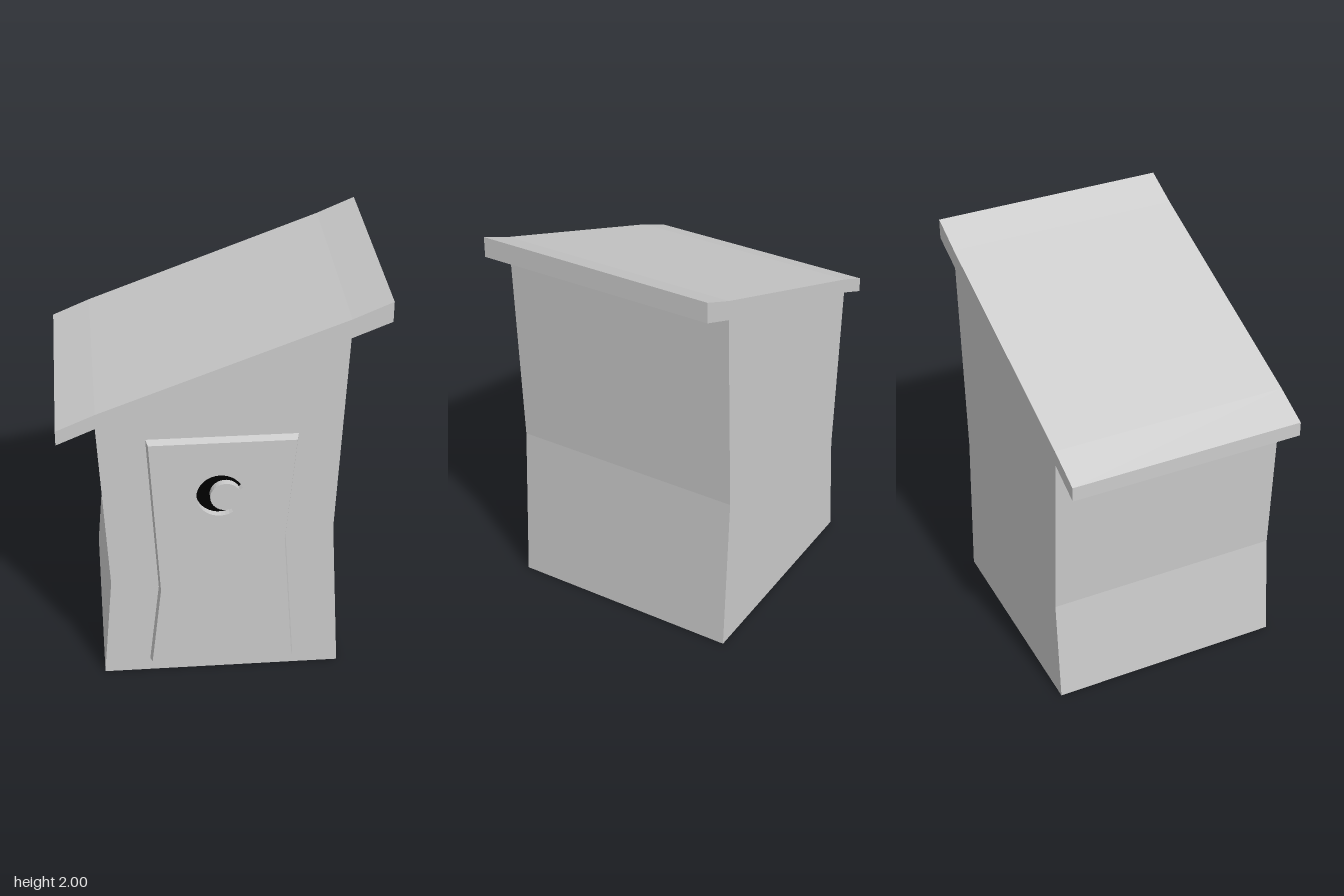
import * as THREE from 'three';

const polygon = (pts) => pts.map(([x, y]) => new THREE.Vector2(x, y));

// Points along a circular arc, angles in degrees
function arc(cx, cy, r, from, to, n) {
  return Array.from({ length: n + 1 }, (_, i) => {
    const a = THREE.MathUtils.degToRad(from + ((to - from) * i) / n);
    return new THREE.Vector2(cx + r * Math.cos(a), cy + r * Math.sin(a));
  });
}

function addMesh(group, name, geometry, color = 0xcccccc) {
  const material = new THREE.MeshStandardMaterial({ color, flatShading: true });
  const mesh = new THREE.Mesh(geometry, material);
  mesh.name = name;
  group.add(mesh);
  return mesh;
}

export function createModel() {
  const group = new THREE.Group();
  group.name = 'outhouse';
  const back = -0.6, front = 0.563, doorFront = 0.603;

  // Crooked walls and overhanging slanted roof share one outline
  const outline = new THREE.Shape(polygon([
    [-0.58, 0], [0.58, 0], [0.535, 0.81], [0.58, 1.825], [0.765, 1.9], [0.765, 2],
    [0.58, 1.92], [-0.58, 1.485], [-0.765, 1.405], [-0.765, 1.332], [-0.583, 1.41], [-0.535, 0.54],
  ]));
  const body = new THREE.ExtrudeGeometry(outline, { depth: front - back, bevelEnabled: false });
  addMesh(group, 'wallsAndRoof', body.translate(0, 0, back));

  // Blunt-ended crescent window
  const crescent = [
    ...arc(-0.012, 1.042, 0.112, 20, 303, 28),
    ...arc(0.014, 1.033, 0.073, 293, 28, 24),
  ];

  // Door with a crescent cut through it, its sides flaring out toward the wall
  const doorShape = new THREE.Shape(polygon([
    [-0.345, 0.08], [0.345, 0.08], [0.297, 0.78], [0.345, 1.33], [-0.345, 1.33], [-0.297, 0.51],
  ]));
  doorShape.holes.push(new THREE.Path(crescent));
  const depth = doorFront - front;
  const door = new THREE.ExtrudeGeometry(doorShape, { depth, bevelEnabled: false });
  const p = door.attributes.position, midY = 0.705;
  for (let i = 0; i < p.count; i++) {
    if (p.getZ(i) < depth / 2 && Math.abs(p.getX(i)) > 0.2) {
      p.setX(i, p.getX(i) * 1.029);
      p.setY(i, midY + (p.getY(i) - midY) * 1.018);
    }
  }
  door.computeVertexNormals();
  addMesh(group, 'door', door.translate(0, 0, front));

  // Dark backing seen through the window
  const backing = new THREE.ShapeGeometry(new THREE.Shape(crescent));
  addMesh(group, 'windowBacking', backing.translate(0, 0, front + 0.004), 0x000000);

  return group;
}
